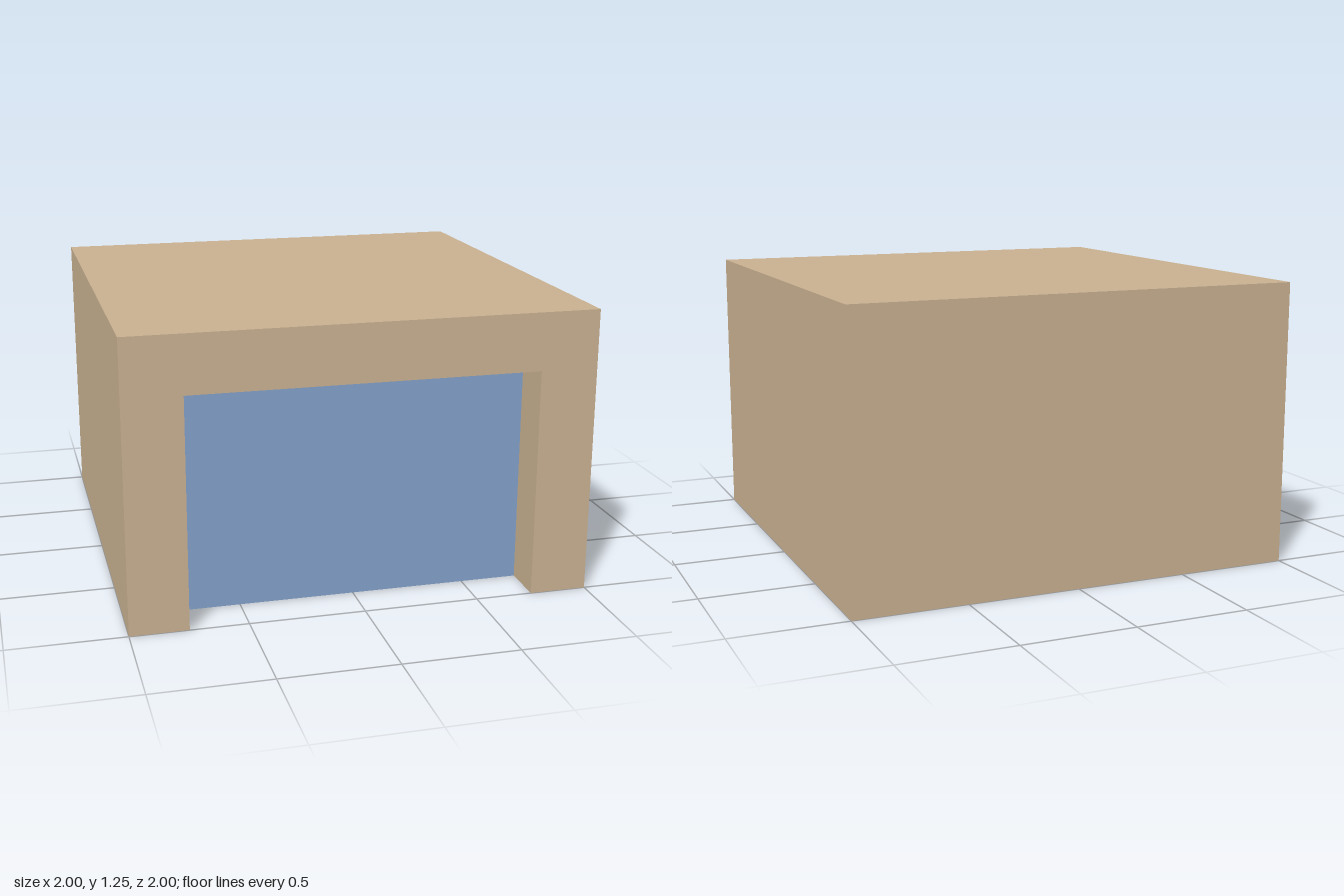
import * as THREE from 'three';

export function createModel() {
  const group = new THREE.Group();
  const tan = new THREE.MeshStandardMaterial({ name: 'tan wall', color: 0xc8b090 });
  const blue = new THREE.MeshStandardMaterial({ name: 'blue door', color: 0x829fc8 });

  const W = 2, H = 1.25, D = 2;           // overall size
  const doorW = 1.5, doorH = 1, recess = 0.2;
  const doorZ = D / 2 - recess;

  const add = (name, geometry, material, x, y, z) => {
    const mesh = new THREE.Mesh(geometry, material);
    mesh.name = name;
    mesh.position.set(x, y, z);
    group.add(mesh);
  };

  // Main block behind the doorway
  add('body', new THREE.BoxGeometry(W, H, D - recess), tan, 0, H / 2, -recess / 2);

  // Front surround: two posts and a lintel in one arch-shaped outline
  const outline = new THREE.Shape([
    [-W / 2, 0], [-doorW / 2, 0], [-doorW / 2, doorH], [doorW / 2, doorH],
    [doorW / 2, 0], [W / 2, 0], [W / 2, H], [-W / 2, H],
  ].map(([x, y]) => new THREE.Vector2(x, y)));
  add('doorSurround', new THREE.ExtrudeGeometry(outline, { depth: recess, bevelEnabled: false }),
    tan, 0, 0, doorZ);

  // Door panel at the back of the recess
  add('door', new THREE.BoxGeometry(doorW, doorH, 0.004), blue, 0, doorH / 2, doorZ + 0.002);

  return group;
}
